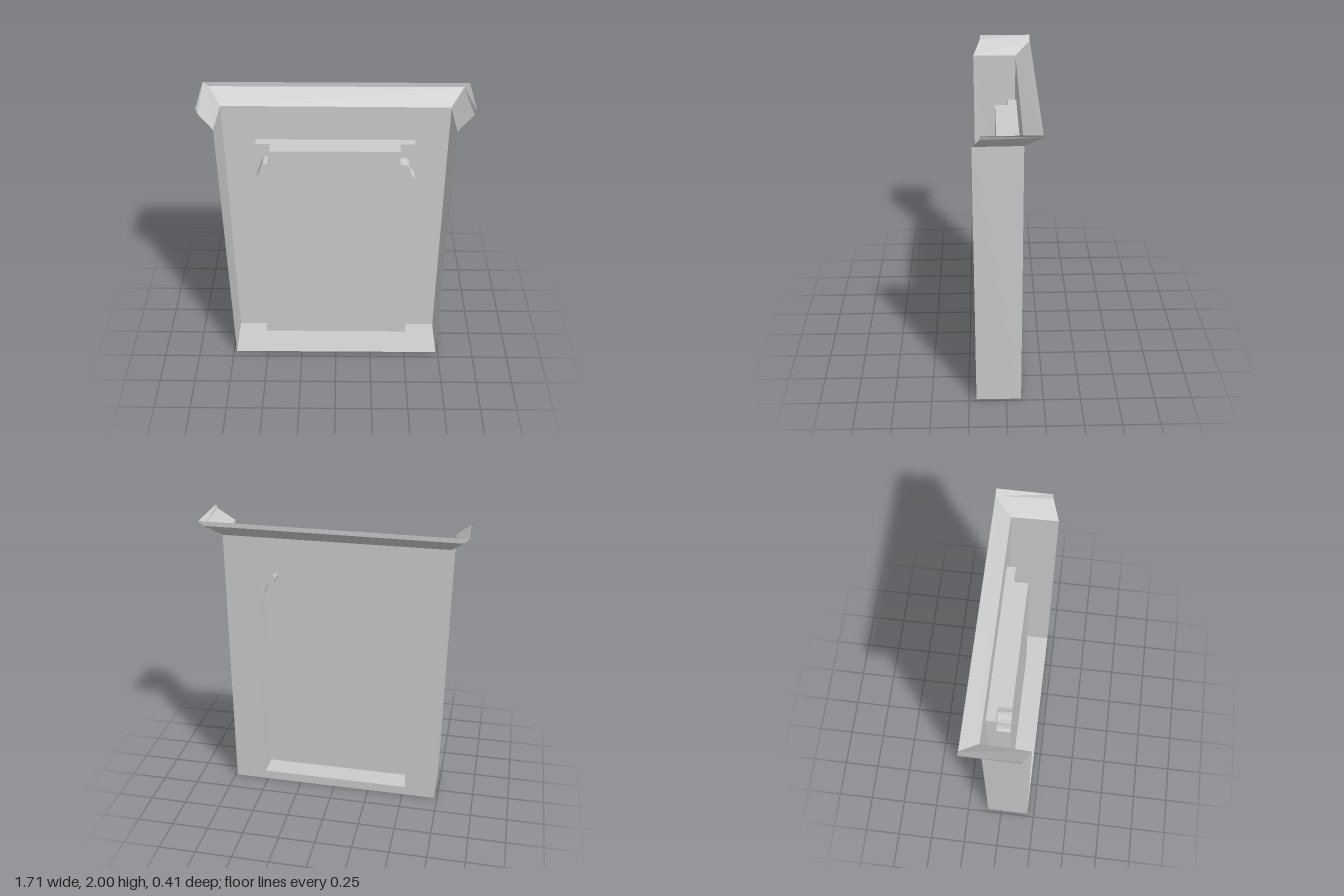
import * as THREE from 'three';

const material = new THREE.MeshStandardMaterial({ color: 0xcccccc, flatShading: true, side: THREE.DoubleSide });

// Depths of the face wall, bracket faces, recessed panel and open edge
const FACE = -0.1, BRACKET = -0.04, PANEL = 0.05, OPEN = 0.2;
const TOP = 1.64, SILL = 0.065, LEFT = 0.515, RIGHT = -0.525, RIGHT_SILL = -0.517;

// Scroll outlines, from the lintel down to the jamb
const leftScroll = [[0.415, TOP], [0.425, 1.605], [0.412, 1.575], [0.42, 1.543], [0.445, 1.538],
  [0.465, 1.535], [0.48, 1.515], [0.485, 1.475], [0.495, 1.455], [LEFT, 1.44]];
const rightScroll = [[-0.43, TOP], [-0.437, 1.6], [-0.432, 1.57], [-0.442, 1.547], [-0.475, 1.543],
  [-0.49, 1.52], [-0.5, 1.48], [-0.51, 1.458], [RIGHT, 1.443]];

// Sheet stretched between two matching rows of points
function sheet(name, a, b) {
  const positions = [];
  for (let i = 0; i < a.length - 1; i++) {
    positions.push(...a[i], ...b[i], ...b[i + 1], ...a[i], ...b[i + 1], ...a[i + 1]);
  }
  const geometry = new THREE.BufferGeometry();
  geometry.setAttribute('position', new THREE.Float32BufferAttribute(positions, 3));
  geometry.computeVertexNormals();
  return named(name, geometry);
}

function named(name, geometry) {
  const mesh = new THREE.Mesh(geometry, material);
  mesh.name = name;
  return mesh;
}

const toShape = (points) => new THREE.Shape(points.map(([x, y]) => new THREE.Vector2(x, y)));
const atDepth = (points, z) => points.map(([x, y]) => [x, y, z]);

// Flat outline placed at a depth
function flat(name, shape, z) {
  return named(name, new THREE.ShapeGeometry(shape).translate(0, 0, z));
}

// Wall running in depth along an outline
const reveal = (name, points, z0, z1) => sheet(name, atDepth(points, z0), atDepth(points, z1));

export function createModel() {
  const model = new THREE.Group();
  model.name = 'framedHousing';

  // Face wall with the rectangular opening
  const opening = [[RIGHT, TOP], [RIGHT_SILL, SILL], [LEFT, SILL], [LEFT, TOP]];
  const wall = toShape([[-0.73, 0], [0.735, 0], [0.735, 1.88], [-0.74, 1.885]]);
  wall.holes.push(new THREE.Path(opening.map(([x, y]) => new THREE.Vector2(x, y))));
  model.add(flat('faceWall', wall, FACE));

  // Shallow reveal all round, deeper reveal between the brackets
  model.add(reveal('outerReveal', [...opening, opening[0]], FACE, BRACKET));
  model.add(reveal('innerReveal', [rightScroll.at(-1), opening[1], opening[2], leftScroll.at(-1)], BRACKET, PANEL));
  model.add(reveal('lintelReveal', [rightScroll[0], leftScroll[0]], BRACKET, PANEL));

  // Recessed panel, cut away at the brackets
  const panel = [opening[1], opening[2], ...[...leftScroll].reverse(), ...rightScroll];
  model.add(flat('recessedPanel', toShape(panel), PANEL));

  // Scrolled corner brackets, hollow on the open side
  for (const [name, scroll, x] of [['leftBracket', leftScroll, LEFT], ['rightBracket', rightScroll, RIGHT]]) {
    const bracket = new THREE.Group();
    bracket.name = name;
    bracket.add(flat('bracketFace', toShape([...scroll, [x, TOP]]), BRACKET));
    bracket.add(reveal('bracketScroll', scroll, BRACKET, PANEL));
    model.add(bracket);
  }

  // Side walls and floor
  model.add(sheet('leftWall', [[0.735, 0, FACE], [0.735, 1.88, FACE]], [[0.735, 0, OPEN], [0.742, 1.88, OPEN]]));
  model.add(sheet('rightWall', [[-0.73, 0, FACE], [-0.74, 1.885, FACE]], [[-0.73, 0, OPEN], [-0.75, 1.885, OPEN]]));
  model.add(sheet('floor', [[-0.73, 0, FACE], [0.735, 0, FACE]], [[-0.73, 0, OPEN], [0.735, 0, OPEN]]));

  // Flared cornice: profiles at the two open ends and the two mitred corners
  const profile = (side, foot) => ({
    end: [[foot[1], foot[2], OPEN], [side * 0.843, 1.97, 0.153], [side * 0.855, 2, 0.15]],
    corner: [[foot[0], foot[2], FACE], [side * 0.82, 1.97, -0.205], [side * 0.855, 2, -0.205]],
  });
  const left = profile(1, [0.735, 0.742, 1.88]);
  const right = profile(-1, [-0.74, -0.75, 1.885]);
  model.add(sheet('faceCornice', right.corner, left.corner));
  model.add(sheet('leftCornice', left.corner, left.end));
  model.add(sheet('rightCornice', right.end, right.corner));

  return model;
}
